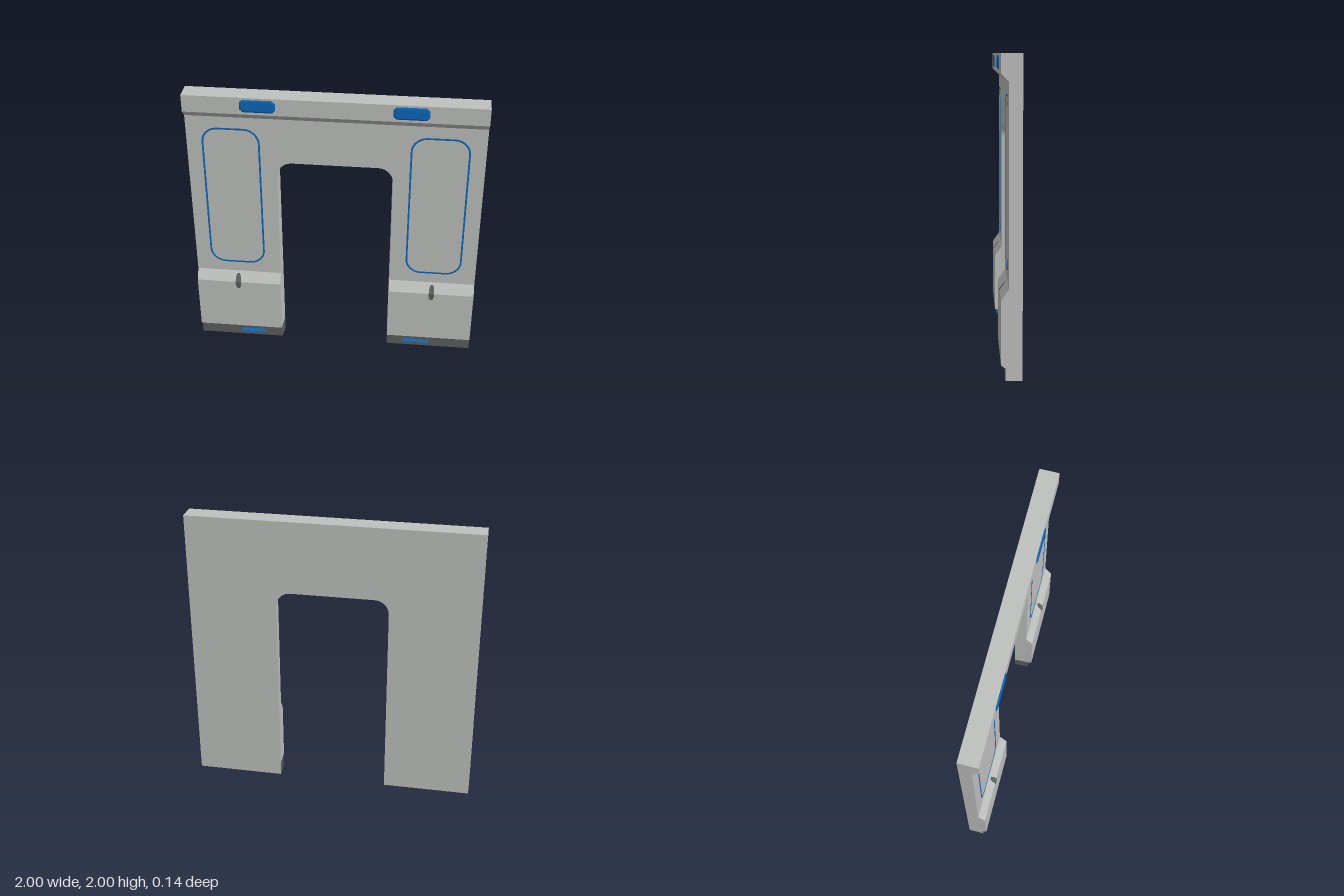
import * as THREE from 'three';

const mat = (name, color) => {
  const m = new THREE.MeshStandardMaterial({ color });
  m.name = name;
  return m;
};

const BACK = -0.07, FACE = 0.015, FRONT = 0.063;  // depths of back, recessed face and mouldings
const INNER = 0.386;                              // half width of the doorway at the back

// Flares the doorway slightly towards the front
function flareDoorway(geo) {
  const p = geo.attributes.position;
  for (let i = 0; i < p.count; i++) {
    const x = p.getX(i), y = p.getY(i);
    if (Math.abs(x) > 0.45 || y > 1.6) continue;
    const t = (Math.min(p.getZ(i), FACE) - BACK) / (FACE - BACK);
    p.setX(i, x * (1 + 0.016 * t));
    if (y > 1.3) p.setY(i, y + 0.012 * t * (y - 1.3) / 0.188);
  }
  geo.computeVertexNormals();
  return geo;
}

// Extrudes a (z, y) profile along x
function prism(profile, x0, x1) {
  const shape = new THREE.Shape(profile.map(([z, y]) => new THREE.Vector2(z, y)));
  const geo = new THREE.ExtrudeGeometry(shape, { depth: x1 - x0, bevelEnabled: false });
  return geo.rotateY(-Math.PI / 2).translate(x1, 0, 0);
}

function roundedRect(Type, cx, cy, w, h, r) {
  const s = new Type(), a = w / 2 - r, b = h / 2 - r, q = Math.PI / 2;
  s.absarc(cx + a, cy + b, r, 0, q);
  s.absarc(cx - a, cy + b, r, q, 2 * q);
  s.absarc(cx - a, cy - b, r, 2 * q, 3 * q);
  s.absarc(cx + a, cy - b, r, 3 * q, 4 * q);
  s.closePath();
  return s;
}

export function createModel() {
  const group = new THREE.Group();
  const grey = mat('light grey', 0xbfc1bf);
  const dark = mat('dark grey', 0x5c5f5d);
  const blue = mat('blue', 0x0b66b9);
  const add = (name, geo, material) => {
    const mesh = new THREE.Mesh(geo, material);
    mesh.name = name;
    group.add(mesh);
    return mesh;
  };

  // Wall slab with the round-cornered doorway
  const r = 0.1, top = 1.488;
  const wall = new THREE.Shape();
  wall.moveTo(-1, 0.1);
  wall.lineTo(-INNER, 0.1);
  wall.absarc(-INNER + r, top - r, r, Math.PI, Math.PI / 2, true);
  wall.absarc(INNER - r, top - r, r, Math.PI / 2, 0, true);
  wall.lineTo(INNER, 0.1);
  wall.lineTo(1, 0.1);
  wall.lineTo(1, 2);
  wall.lineTo(-1, 2);
  wall.closePath();
  const wallGeo = new THREE.ExtrudeGeometry(wall, { depth: FACE - BACK, bevelEnabled: false, curveSegments: 6 });
  add('wall', flareDoorway(wallGeo.translate(0, 0, BACK)), grey);

  // Header moulding across the top
  add('header', prism([[FACE, 1.83], [FRONT, 1.88], [FRONT, 2], [FACE, 2]], -1, 1), grey);

  for (const s of [1, -1]) {
    const side = s > 0 ? 'left' : 'right';
    const [x0, x1] = s > 0 ? [INNER, 1] : [-1, -INNER];

    // Lower panel with a sloped top
    const panel = prism([[FACE, 0.1], [FRONT, 0.1], [FRONT, 0.505], [FACE, 0.575]], x0, x1);
    add(side + 'LowerPanel', flareDoorway(panel), grey);

    // Plinth: dark on its front and doorway faces only
    const plinth = flareDoorway(prism(
      [[BACK, 0], [0.036, 0], [0.036, 0.08], [FRONT, 0.1], [BACK, 0.1]], x0, x1));
    const n = plinth.attributes.normal;
    plinth.clearGroups();
    for (let i = 0; i < n.count; i += 3) {
      const isDark = n.getZ(i) > 0.5 || n.getX(i) * s < -0.5;
      plinth.addGroup(i, 3, isDark ? 1 : 0);
    }
    add(side + 'Plinth', plinth, [grey, dark]);

    // Blue outline on the recessed face
    const ring = roundedRect(THREE.Shape, s * 0.7, 1.2, 0.394, 1.094, 0.11);
    ring.holes.push(roundedRect(THREE.Path, s * 0.7, 1.2, 0.37, 1.07, 0.098));
    add(side + 'Outline', new THREE.ExtrudeGeometry(ring, { depth: 0.002, bevelEnabled: false, curveSegments: 6 })
      .translate(0, 0, FACE), blue);

    // Header plate with cut corners and a bevelled rim
    const w = 0.107, h = 0.034, c = 0.014;
    const plate = new THREE.Shape([
      [-w + c, -h], [w - c, -h], [w, -h + c], [w, h - c],
      [w - c, h], [-w + c, h], [-w, h - c], [-w, -h + c],
    ].map(([x, y]) => new THREE.Vector2(x, y)));
    add(side + 'HeaderPlate', new THREE.ExtrudeGeometry(plate, {
      depth: 0.003, bevelThickness: 0.005, bevelSize: 0.01, bevelSegments: 1,
    }).translate(s * 0.5, 1.942, FRONT - 0.001), blue);

    // Wedge-shaped strip on the plinth
    const strip = s > 0 ? [0.513, 0.7] : [-0.7, -0.513];
    add(side + 'PlinthStrip', prism([[0.036, 0.026], [0.053, 0.041], [0.036, 0.056]], ...strip), blue);

    // Slot mark folded over the slope's edge
    const rows = [[0.452, 0.009], [0.47, 0.017], [0.505, 0.02], [0.54, 0.017], [0.56, 0.009]];
    const pos = [], idx = [];
    rows.forEach(([y, hw], i) => {
      const z = (y > 0.505 ? FRONT - (y - 0.505) * (FRONT - FACE) / 0.07 : FRONT) + 0.002;
      pos.push(s * 0.7 - hw, y, z, s * 0.7 + hw, y, z);
      const k = 2 * i;
      if (i) idx.push(k - 2, k - 1, k + 1, k - 2, k + 1, k);
    });
    const slot = new THREE.BufferGeometry();
    slot.setAttribute('position', new THREE.Float32BufferAttribute(pos, 3));
    slot.setIndex(idx);
    const flat = slot.toNonIndexed();
    flat.computeVertexNormals();
    add(side + 'Slot', flat, dark);
  }
  return group;
}
